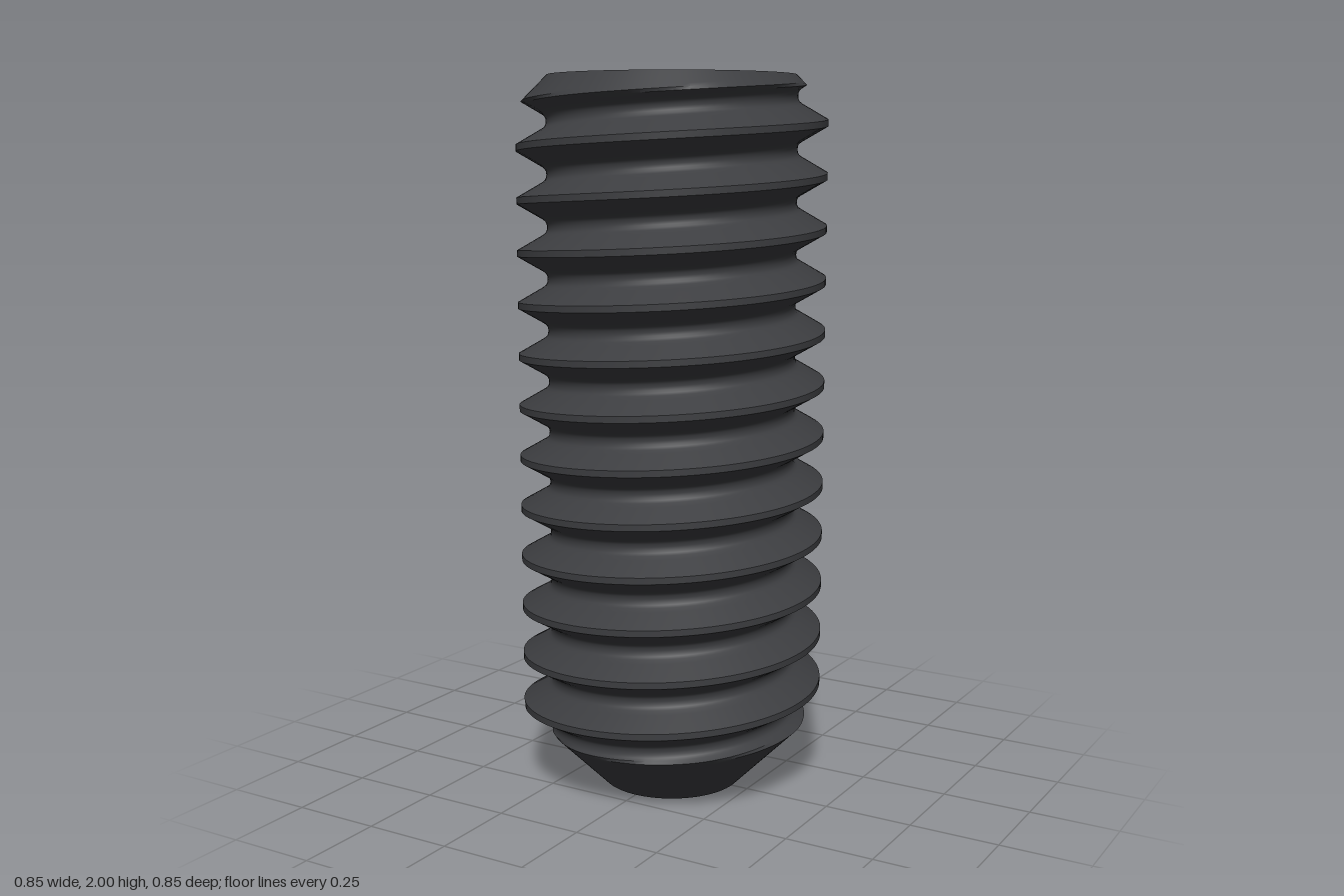
import * as THREE from 'three';
import { toCreasedNormals } from 'three/addons/utils/BufferGeometryUtils.js';

const COLS = 96, HEIGHT = 2, PITCH = HEIGHT / 14;
const CREST = 0.427, POINT_R = 0.2, TOP_R = 0.34;
const HEX_R = 0.25, SOCKET_FLOOR = 1.5, CUP_DEPTH = 0.12;

// Surface from rows; each row is a function angle -> [radius, y]
function skin(name, rows, material) {
  const grid = rows.map((row) => Array.from({ length: COLS + 1 }, (_, i) => {
    const a = (i / COLS) * Math.PI * 2;
    const [r, y] = row(a);
    return new THREE.Vector3(r * Math.cos(a), y, -r * Math.sin(a));
  }));
  const pos = [];
  const tri = new THREE.Triangle();
  const add = (a, b, c) => {
    if (tri.set(a, b, c).getArea() < 1e-9) return;
    for (const p of [a, b, c]) pos.push(p.x, p.y, p.z);
  };
  for (let j = 0; j < rows.length - 1; j++) {
    for (let i = 0; i < COLS; i++) {
      const a = grid[j][i], b = grid[j][i + 1], c = grid[j + 1][i + 1], d = grid[j + 1][i];
      add(a, b, c);
      add(a, c, d);
    }
  }
  let geo = new THREE.BufferGeometry();
  geo.setAttribute('position', new THREE.Float32BufferAttribute(pos, 3));
  // Normals are matched on a coarse position grid, so work at a larger scale
  geo.scale(100, 100, 100);
  geo = toCreasedNormals(geo, 0.5);
  geo.scale(0.01, 0.01, 0.01);
  const mesh = new THREE.Mesh(geo, material);
  mesh.name = name;
  return mesh;
}

// One pitch of the thread as [offset from crest, radius]: flat crest, 60 degree flanks, rounded root
function threadProfile() {
  const half = [];
  for (let i = 0; i <= 5; i++) {
    half.push([THREE.MathUtils.lerp(0.009, 0.05, i / 5), THREE.MathUtils.lerp(CREST, 0.356, i / 5)]);
  }
  half.push([0.056, 0.3485], [0.063, 0.345]);
  const mirrored = half.map(([o, r]) => [-o, r]).reverse();
  return [[-PITCH / 2, 0.344], ...mirrored, ...half];
}

// Right-handed helix, trimmed by 45 degree cones at both ends
function threadRows() {
  const rows = [];
  const profile = threadProfile();
  for (let k = -4; k <= 13; k++) {
    for (const [offset, radius] of profile) {
      rows.push((a) => {
        const y = THREE.MathUtils.clamp(0.29 + PITCH * (k + a / (2 * Math.PI)) + offset, 0, HEIGHT);
        return [Math.min(radius, POINT_R + y, TOP_R + HEIGHT - y), y];
      });
    }
  }
  return rows;
}

// Radius of the hexagon with corners on the x axis
function hexRadius(a) {
  const s = Math.PI / 3;
  const local = a - s * Math.floor(a / s + 1e-9) - s / 2;
  return HEX_R * Math.cos(s / 2) / Math.cos(local);
}

export function createModel() {
  const group = new THREE.Group();
  group.name = 'setScrew';
  const material = new THREE.MeshStandardMaterial({ color: 0x3c3d40 });

  // Conical recess in the bottom end
  group.add(skin('cupPoint', [() => [0, CUP_DEPTH], () => [POINT_R, 0]], material));

  // Threaded shank with the tapered point and top chamfer
  group.add(skin('threadedShank', threadRows(), material));

  // Flat rim around the socket
  group.add(skin('topRim', [() => [TOP_R, HEIGHT], () => [HEX_R, HEIGHT]], material));

  // Countersunk hexagonal socket: chamfer, walls and floor
  group.add(skin('hexSocket', [
    () => [HEX_R, HEIGHT],
    (a) => [hexRadius(a), HEIGHT - (HEX_R - hexRadius(a)) * 1.1],
    (a) => [hexRadius(a), SOCKET_FLOOR],
    () => [0, SOCKET_FLOOR],
  ], material));

  return group;
}
